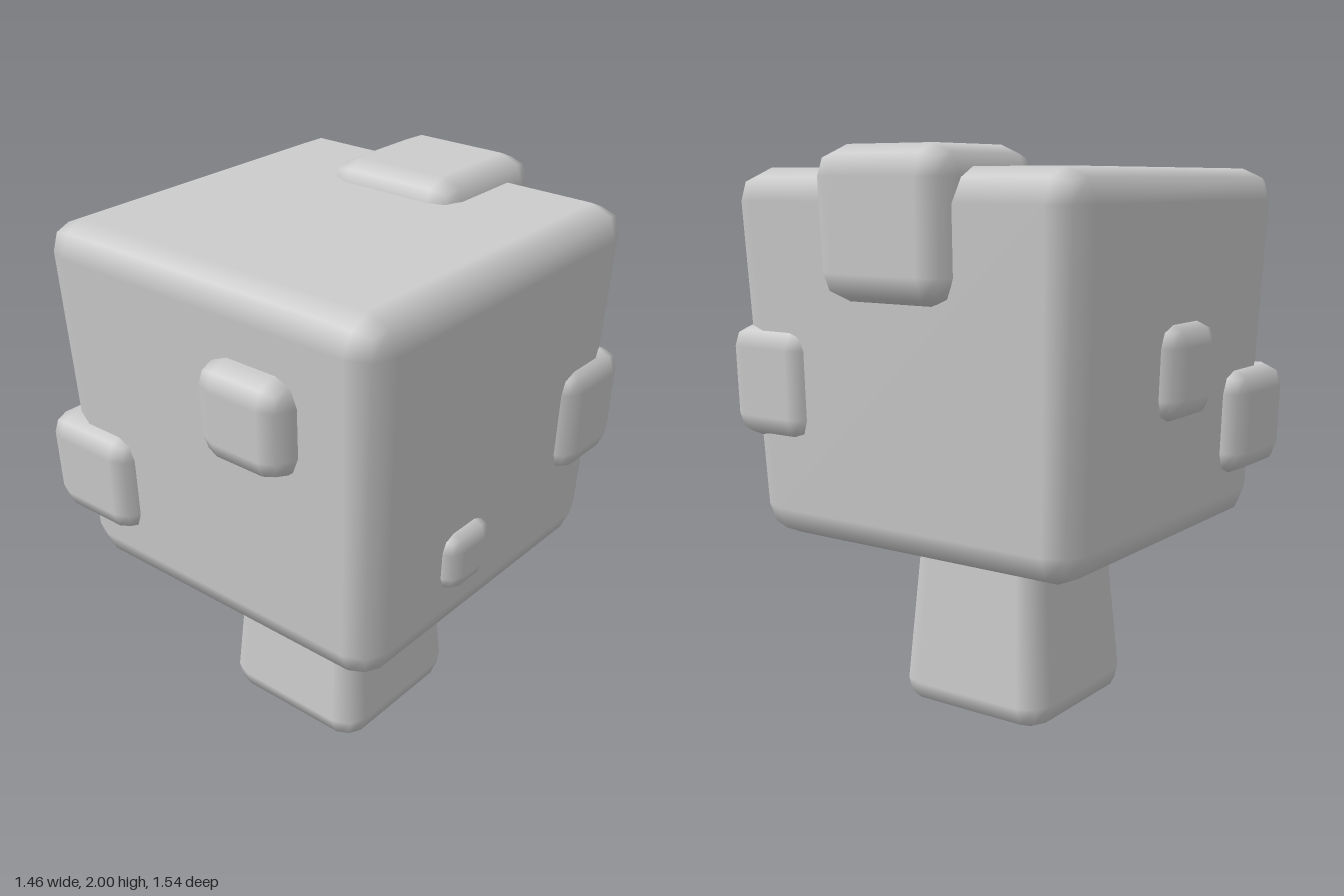
import * as THREE from 'three';
import { RoundedBoxGeometry } from 'three/addons/geometries/RoundedBoxGeometry.js';

const material = new THREE.MeshStandardMaterial({ color: 0xcccccc });

// Bevelled block given by its min and max corners; its x and z scale runs from bottom to top.
function block(name, min, max, radius, bottom, top) {
  const size = max.map((v, i) => v - min[i]);
  const geometry = new RoundedBoxGeometry(...size, 1, radius);
  const p = geometry.attributes.position;
  const n = geometry.attributes.normal;
  const slope = (top - bottom) / size[1];
  const normal = new THREE.Vector3();
  for (let i = 0; i < p.count; i++) {
    const x = p.getX(i), y = p.getY(i), z = p.getZ(i);
    const s = (top + bottom) / 2 + slope * y;
    // keep the smooth normals square to the tapered faces
    normal.fromBufferAttribute(n, i);
    normal.set(normal.x / s, normal.y - (slope / s) * (x * normal.x + z * normal.z), normal.z / s).normalize();
    p.setX(i, x * s);
    p.setZ(i, z * s);
    n.setXYZ(i, normal.x, normal.y, normal.z);
  }
  const mesh = new THREE.Mesh(geometry, material);
  mesh.name = name;
  mesh.position.set(...max.map((v, i) => (v + min[i]) / 2));
  return mesh;
}

export function createModel() {
  const tree = new THREE.Group();
  tree.name = 'blockTree';

  // Trunk, narrowing upward into the crown
  tree.add(block('trunk', [-0.305, 0, -0.32], [0.32, 0.9, 0.305], 0.09, 1, 0.77));

  // Crown, slightly wider at the top
  tree.add(block('crown', [-0.69, 0.66, -0.705], [0.705, 1.93, 0.69], 0.11, 0.925, 1));

  // Leaf clumps half sunk into the crown
  const clumps = [
    ['topBackClump', [-0.265, 1.5, -0.775], [0.28, 2, -0.228], 0.1],
    ['frontClump', [0.063, 1.36, 0.42], [0.418, 1.69, 0.772], 0.08],
    ['frontRightCornerClump', [-0.733, 0.855, 0.31], [-0.327, 1.23, 0.718], 0.08],
    ['rightClump', [-0.73, 1.11, -0.17], [-0.4, 1.44, 0.157], 0.08],
    ['backLeftCornerClump', [0.37, 1.015, -0.712], [0.73, 1.41, -0.352], 0.08],
    ['leftClump', [0.485, 0.855, 0.048], [0.718, 1.07, 0.282], 0.06],
  ];
  for (const [name, min, max, radius] of clumps) tree.add(block(name, min, max, radius, 0.95, 1));

  return tree;
}
